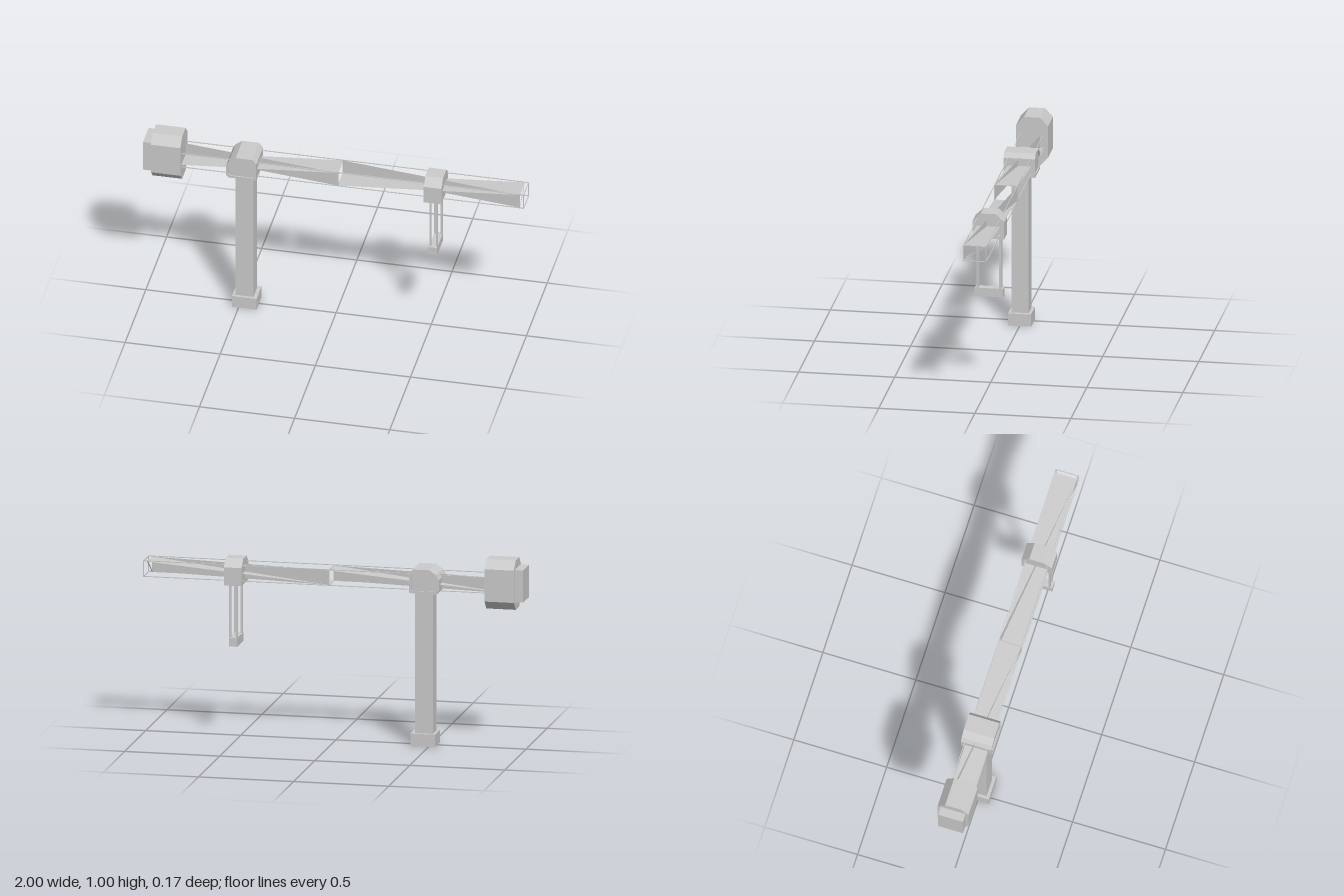
import * as THREE from 'three';

export function createModel() {
  const model = new THREE.Group();
  const grey = new THREE.MeshStandardMaterial({ color: 0xcccccc, flatShading: true });
  const sheetGrey = new THREE.MeshStandardMaterial({ color: 0xcccccc, flatShading: true, side: THREE.DoubleSide });

  const add = (name, geometry, material = grey) => {
    const mesh = new THREE.Mesh(geometry, material);
    mesh.name = name;
    model.add(mesh);
    return mesh;
  };
  // Box given by its limits on each axis
  const box = (name, x0, x1, y0, y1, z0, z1) =>
    add(name, new THREE.BoxGeometry(x1 - x0, y1 - y0, z1 - z0)
      .translate((x0 + x1) / 2, (y0 + y1) / 2, (z0 + z1) / 2));
  const shapeOf = (points) => new THREE.Shape(points.map(([x, y]) => new THREE.Vector2(x, y)));
  const extrude = (shape, depth) => new THREE.ExtrudeGeometry(shape, { depth, bevelEnabled: false });
  // Profile in (z, y), extruded along x
  const alongX = (name, points, x0, x1) =>
    add(name, extrude(shapeOf(points.map(([z, y]) => [-z, y])), x1 - x0).rotateY(Math.PI / 2).translate(x0, 0, 0));
  // Flat four-cornered sheet
  const sheet = (name, a, b, c, d) => {
    const g = new THREE.BufferGeometry();
    g.setAttribute('position', new THREE.Float32BufferAttribute([a, b, c, d].flat(), 3));
    g.setIndex([0, 1, 2, 0, 2, 3]);
    g.computeVertexNormals();
    add(name, g, sheetGrey);
  };

  // Mast and foot
  box('foot', -0.535, -0.405, 0, 0.066, -0.06, 0.06);
  box('mast', -0.52, -0.425, 0.066, 0.83, -0.044, 0.044);

  // Collar: chamfered body with a raised rim on both faces
  const collar = [[-0.548, 0.81], [-0.402, 0.81], [-0.402, 0.91], [-0.422, 0.935],
    [-0.51, 0.935], [-0.545, 0.91], [-0.56, 0.885], [-0.56, 0.825]];
  add('collar', extrude(shapeOf(collar), 0.152).translate(0, 0, -0.076));
  const rim = shapeOf(collar);
  const cx = -0.481, cy = 0.871;
  rim.holes.push(new THREE.Path(collar.map(([x, y]) =>
    new THREE.Vector2(cx + (x - cx) * 0.84, cy + (y - cy) * 0.8))));
  for (const z of [-0.082, 0.076]) add('collarRim', extrude(rim, 0.006).translate(0, 0, z));

  // Counterweight with an end block
  alongX('counterweight', [[-0.083, 0.785], [-0.042, 0.74], [0.042, 0.74], [0.083, 0.785],
    [0.083, 0.955], [0.042, 1], [-0.042, 1], [-0.083, 0.955]], -0.955, -0.8);
  box('counterweightEnd', -1, -0.955, 0.785, 0.955, -0.067, 0.067);

  // Jib: thin bars along the four edges, with cross frames
  const w = 0.004, z1 = 0.061, y0 = 0.823, y1 = 0.909;
  for (const y of [y0, y1 - w])
    for (const z of [-z1, z1 - w]) box('jibEdgeBar', -0.82, 1, y, y + w, z, z + w);
  for (const x of [0.02, 0.996]) {
    for (const y of [y0, y1 - w]) box('jibCrossBar', x, x + w, y, y + w, -z1, z1);
    for (const z of [-z1, z1 - w]) box('jibUpright', x, x + w, y0, y1, z, z + w);
  }
  const brace = add('jibEndBrace', new THREE.BoxGeometry(w, w, Math.hypot(2 * z1, y1 - y0) - w));
  brace.position.set(0.978, (y0 + y1) / 2, 0);
  brace.rotation.x = Math.atan2(y1 - y0, 2 * z1);

  // Jib web: a sloping and a skewed sheet crossing in each bay
  const lo = y0 + 0.004, hi = y1 - 0.005, s = z1 - 0.001;
  for (const [a, b] of [[-0.94, 0.02], [0.02, 0.98]]) {
    sheet('jibSlopingWeb', [a, lo, s], [b, hi, s], [b, hi, -s], [a, lo, -s]);
    sheet('jibSkewedWeb', [a, lo, -s], [b, lo, s], [b, hi, s], [a, hi, -s]);
  }

  // Trolley, hoist ropes and hook block
  alongX('trolley', [[-0.082, 0.803], [0.082, 0.803], [0.082, 0.898],
    [0.04, 0.938], [-0.04, 0.938], [-0.082, 0.898]], 0.478, 0.571);
  for (const x of [0.509, 0.543])
    for (const z of [-0.057, 0.06]) box('hoistRope', x - 0.005, x + 0.005, 0.52, 0.81, z - 0.005, z + 0.005);
  box('hookBlock', 0.503, 0.547, 0.481, 0.526, -0.073, 0.076);

  return model;
}
